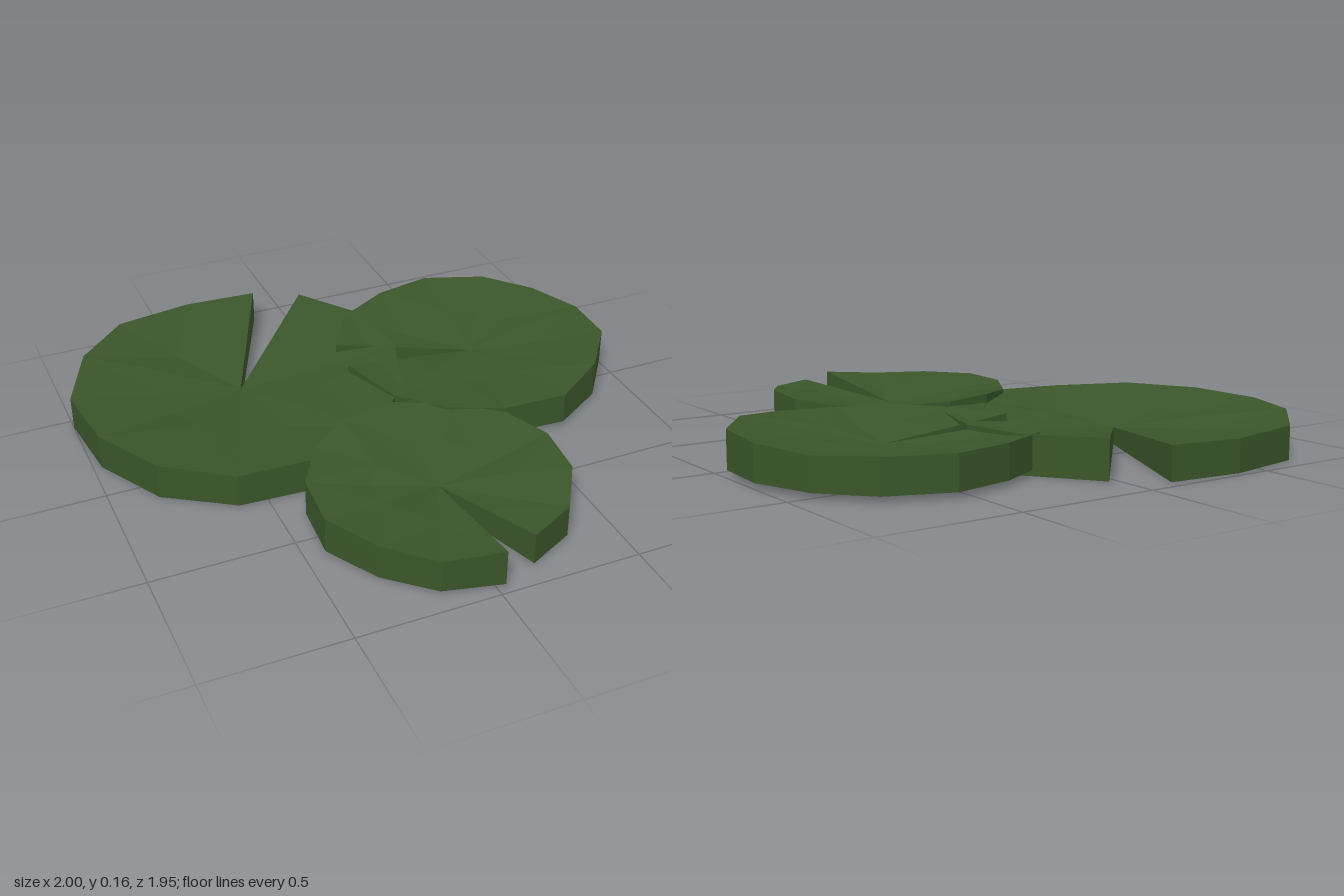
import * as THREE from 'three';

// Each pad: notch apex [x, y, z], underside height and rim points [x, y, z],
// running clockwise (seen from above) from one lip of the notch to the other.
// The apex lies well below the rim, so every pad is a shallow dish.
const PADS = [
  {
    name: 'largeLilyPad', base: 0, centre: [-0.385, 0.062, -0.365],
    rim: [
      [0.03, 0.14, -0.83], [0.2, 0.135, -0.6], [0.23, 0.13, -0.335], [0.135, 0.125, -0.05],
      [-0.07, 0.12, 0.15], [-0.33, 0.125, 0.25], [-0.6, 0.12, 0.235], [-0.835, 0.13, 0.08],
      [-0.97, 0.13, -0.17], [-1, 0.125, -0.455], [-0.885, 0.13, -0.72], [-0.69, 0.12, -0.92],
      [-0.4, 0.115, -0.975], [-0.125, 0.12, -0.95],
    ],
  },
  {
    name: 'mediumLilyPad', base: 0.02, centre: [0.51, 0.082, -0.25],
    rim: [
      [0.015, 0.14, -0.4], [0.13, 0.135, -0.6], [0.335, 0.14, -0.71], [0.555, 0.14, -0.755],
      [0.78, 0.14, -0.67], [0.925, 0.135, -0.51], [1, 0.145, -0.29], [0.985, 0.155, -0.065],
      [0.84, 0.155, 0.13], [0.645, 0.135, 0.25], [0.405, 0.13, 0.235], [0.21, 0.135, 0.15],
      [0.08, 0.13, 0], [0.005, 0.135, -0.25],
    ],
  },
  {
    name: 'smallLilyPad', base: 0.01, centre: [0.02, 0.075, 0.495],
    rim: [
      [0.03, 0.14, 0.97], [-0.175, 0.125, 0.92], [-0.325, 0.135, 0.78], [-0.43, 0.14, 0.59],
      [-0.415, 0.14, 0.38], [-0.31, 0.135, 0.2], [-0.155, 0.145, 0.09], [0.04, 0.14, 0.045],
      [0.24, 0.13, 0.125], [0.4, 0.13, 0.26], [0.465, 0.135, 0.44], [0.44, 0.14, 0.655],
      [0.33, 0.125, 0.83], [0.16, 0.125, 0.915],
    ],
  },
];

function padGeometry({ centre, rim, base }, phase) {
  const positions = [];
  const tri = (...corners) => corners.forEach((p) => positions.push(...p));
  const quad = (a, b, c, d) => { tri(a, b, c); tri(a, c, d); };
  const low = ([x, , z]) => [x, base, z];
  const last = rim.length - 1;

  // Gently rippled ring halfway to the rim; straight along the notch edges
  const ring = rim.map((p, i) => {
    const q = p.map((v, k) => centre[k] + (v - centre[k]) * 0.5);
    if (i > 0 && i < last) q[1] += 0.01 * Math.sin(i * 2.1 + phase);
    return q;
  });

  for (let i = 0; i < last; i++) {
    // Dished top, with alternating diagonals so the facets zigzag
    tri(centre, ring[i + 1], ring[i]);
    if (i % 2) quad(ring[i], ring[i + 1], rim[i + 1], rim[i]);
    else quad(ring[i + 1], rim[i + 1], rim[i], ring[i]);
    // Flat underside
    tri(low(centre), low(rim[i]), low(rim[i + 1]));
  }

  // Side walls, including both faces of the notch
  const loop = [centre, ...rim];
  loop.forEach((p, i) => {
    const next = loop[(i + 1) % loop.length];
    quad(low(next), low(p), p, next);
  });

  const geometry = new THREE.BufferGeometry();
  geometry.setAttribute('position', new THREE.Float32BufferAttribute(positions, 3));
  geometry.computeVertexNormals();
  return geometry;
}

export function createModel() {
  const group = new THREE.Group();
  group.name = 'lilyPads';
  const leaf = new THREE.MeshStandardMaterial({ color: 0x3a552a, flatShading: true });
  PADS.forEach((pad, i) => {
    const mesh = new THREE.Mesh(padGeometry(pad, i * 1.7), leaf);
    mesh.name = pad.name;
    group.add(mesh);
  });
  return group;
}
